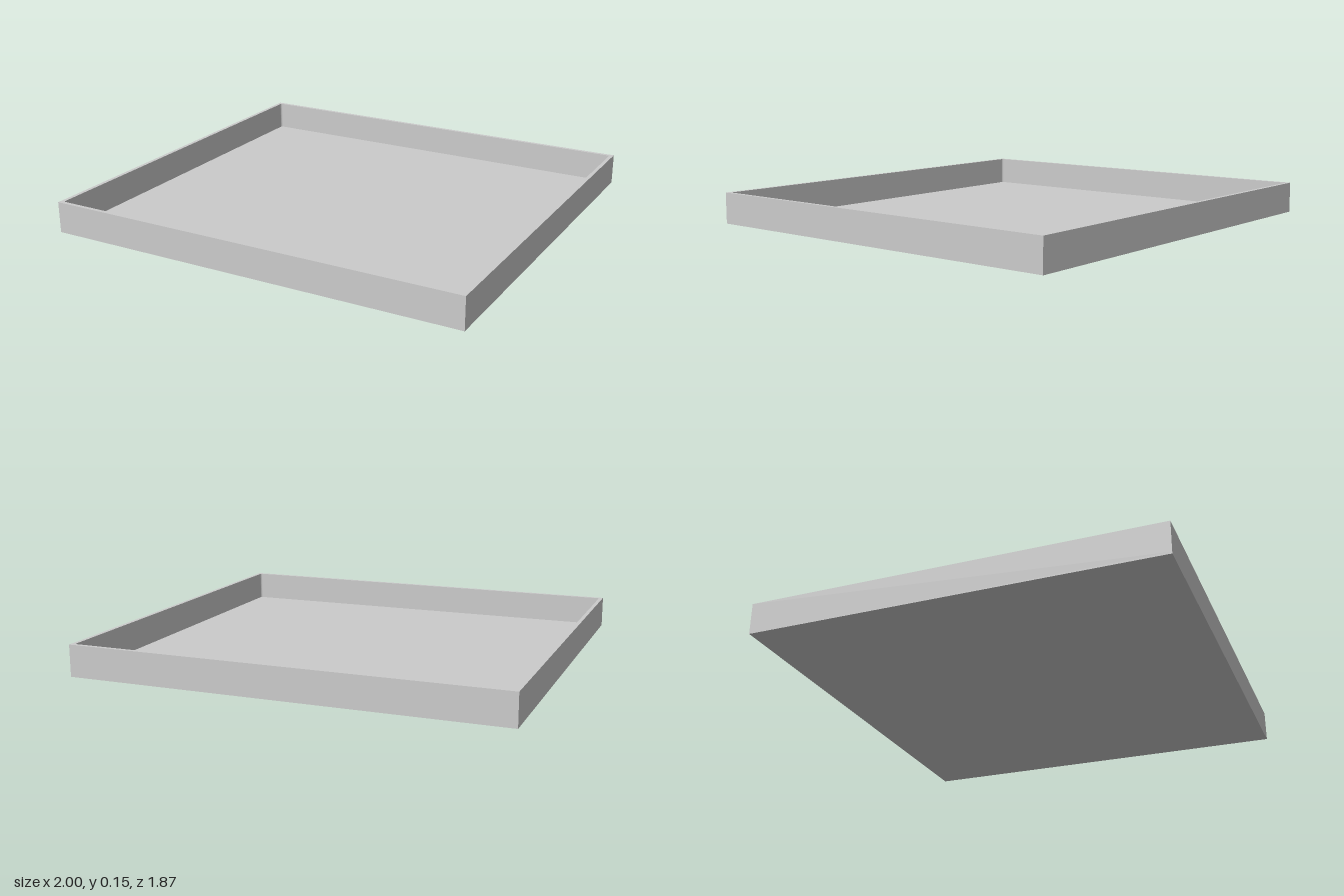
import * as THREE from 'three';

const WIDTH = 2, DEPTH = 1.866, HEIGHT = 0.146;
const WALL = 0.018, FLOOR = 0.008, CORNER = 0.01;

// Rectangle with rounded corners, centred on the origin
function roundedRect(path, w, d, r) {
  const x = w / 2, y = d / 2;
  path.moveTo(-x + r, -y);
  path.lineTo(x - r, -y);
  path.absarc(x - r, -y + r, r, -Math.PI / 2, 0);
  path.lineTo(x, y - r);
  path.absarc(x - r, y - r, r, 0, Math.PI / 2);
  path.lineTo(-x + r, y);
  path.absarc(-x + r, y - r, r, Math.PI / 2, Math.PI);
  path.lineTo(-x, -y + r);
  path.absarc(-x + r, -y + r, r, Math.PI, Math.PI * 1.5);
  return path;
}

export function createModel() {
  const group = new THREE.Group();
  group.name = 'tray';
  const material = new THREE.MeshStandardMaterial({ color: 0xcccccc });

  // Thin floor plate
  const floor = new THREE.Mesh(new THREE.BoxGeometry(WIDTH, FLOOR, DEPTH), material);
  floor.name = 'floor';
  floor.position.y = FLOOR / 2;
  group.add(floor);

  // Surrounding wall: sharp outside, slightly rounded inside corners
  const x = WIDTH / 2, z = DEPTH / 2;
  const outline = new THREE.Shape([
    new THREE.Vector2(-x, -z), new THREE.Vector2(x, -z),
    new THREE.Vector2(x, z), new THREE.Vector2(-x, z),
  ]);
  outline.holes.push(roundedRect(new THREE.Path(), WIDTH - 2 * WALL, DEPTH - 2 * WALL, CORNER));
  const wallGeometry = new THREE.ExtrudeGeometry(outline, {
    depth: HEIGHT - FLOOR, bevelEnabled: false, curveSegments: 6,
  });
  wallGeometry.rotateX(-Math.PI / 2);
  const wall = new THREE.Mesh(wallGeometry, material);
  wall.name = 'rimWall';
  wall.position.y = FLOOR;
  group.add(wall);

  return group;
}
